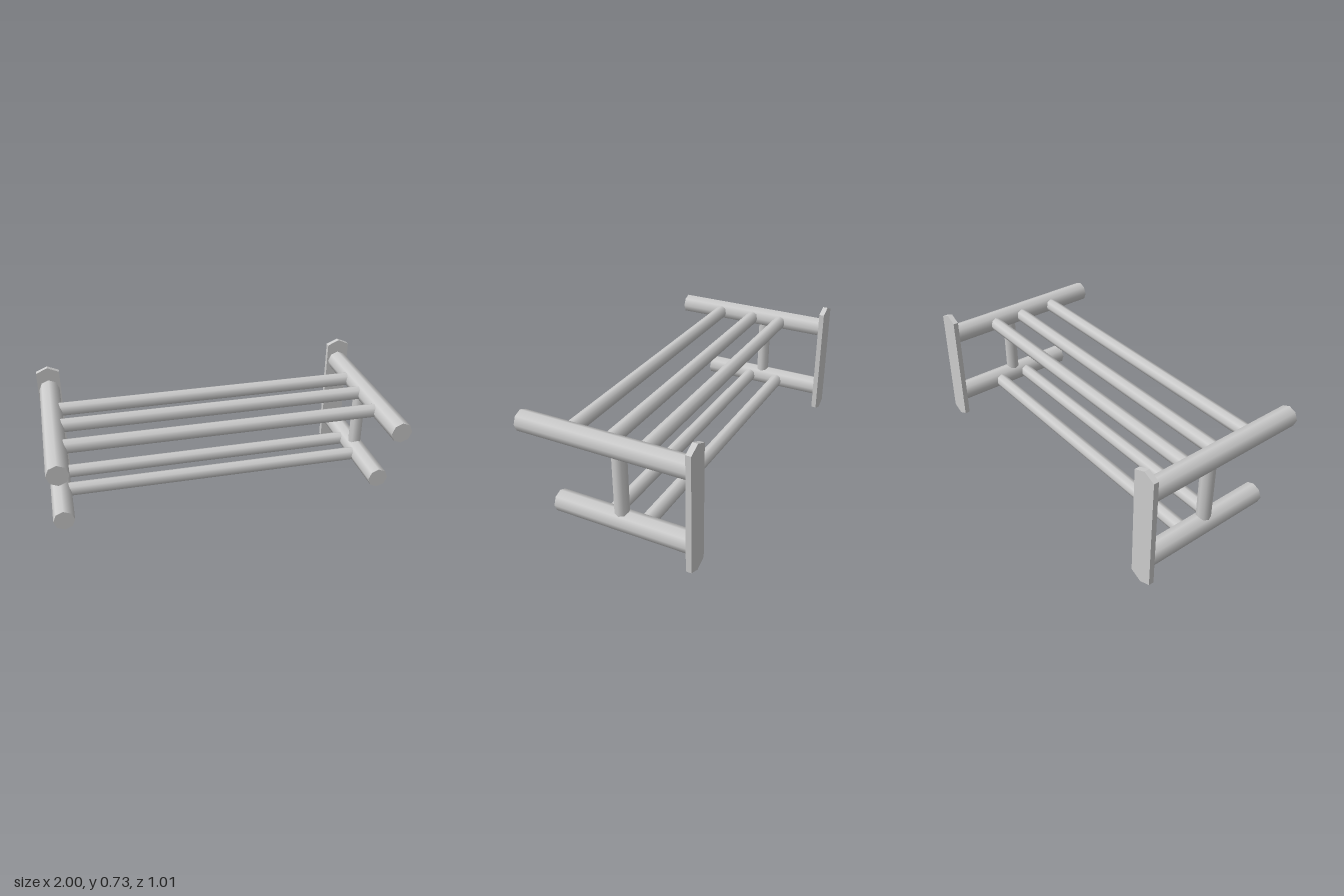
import * as THREE from 'three';

const material = new THREE.MeshStandardMaterial({ color: 0xcccccc });
const SIDES = 8;
const UPPER_Y = 0.59, LOWER_Y = 0.16, SIDE_X = 0.93;
const BACK_Z = -0.505, PLATE_DEPTH = 0.03;

// Eight-sided rod running along one axis between two coordinates
function rod(name, axis, from, to, radius, centre) {
  const geometry = new THREE.CylinderGeometry(radius, radius, to - from, SIDES);
  if (axis === 'x') geometry.rotateZ(Math.PI / 2);
  if (axis === 'z') geometry.rotateX(Math.PI / 2);
  const mesh = new THREE.Mesh(geometry, material);
  mesh.name = name;
  mesh.position.set(...centre);
  mesh.position[axis] = (from + to) / 2;
  return mesh;
}

// Tall mounting plate with shallow pointed ends
function wallPlate() {
  const w = 0.068, h = 0.73, shoulder = 0.03;
  const shape = new THREE.Shape([
    [0, 0], [w, shoulder], [w, h - shoulder], [0, h], [-w, h - shoulder], [-w, shoulder],
  ].map(([x, y]) => new THREE.Vector2(x, y)));
  const geometry = new THREE.ExtrudeGeometry(shape, { depth: PLATE_DEPTH, bevelEnabled: false });
  const mesh = new THREE.Mesh(geometry, material);
  mesh.name = 'wallPlate';
  mesh.position.z = BACK_Z;
  return mesh;
}

// One side bracket: plate, two arms and the post joining them
function bracket(name, x) {
  const group = new THREE.Group();
  group.name = name;
  const armBack = BACK_Z + PLATE_DEPTH;
  group.add(
    wallPlate(),
    rod('upperArm', 'z', armBack, 0.505, 0.06, [0, UPPER_Y, 0]),
    rod('lowerArm', 'z', armBack, 0.3, 0.06, [0, LOWER_Y, 0]),
    rod('post', 'y', LOWER_Y, UPPER_Y, 0.04, [0, 0, -0.08]),
  );
  group.position.x = x;
  return group;
}

export function createModel() {
  const model = new THREE.Group();
  model.name = 'wallRack';
  model.add(bracket('leftBracket', SIDE_X), bracket('rightBracket', -SIDE_X));

  // Crossbars: three on the upper shelf, two on the lower
  const shelves = [
    ['upperBar', UPPER_Y, [-0.2, -0.005, 0.225]],
    ['lowerBar', LOWER_Y, [-0.2, -0.005]],
  ];
  for (const [name, y, depths] of shelves) {
    depths.forEach((z, i) => {
      model.add(rod(name + (i + 1), 'x', -SIDE_X, SIDE_X, 0.04, [0, y, z]));
    });
  }
  return model;
}
